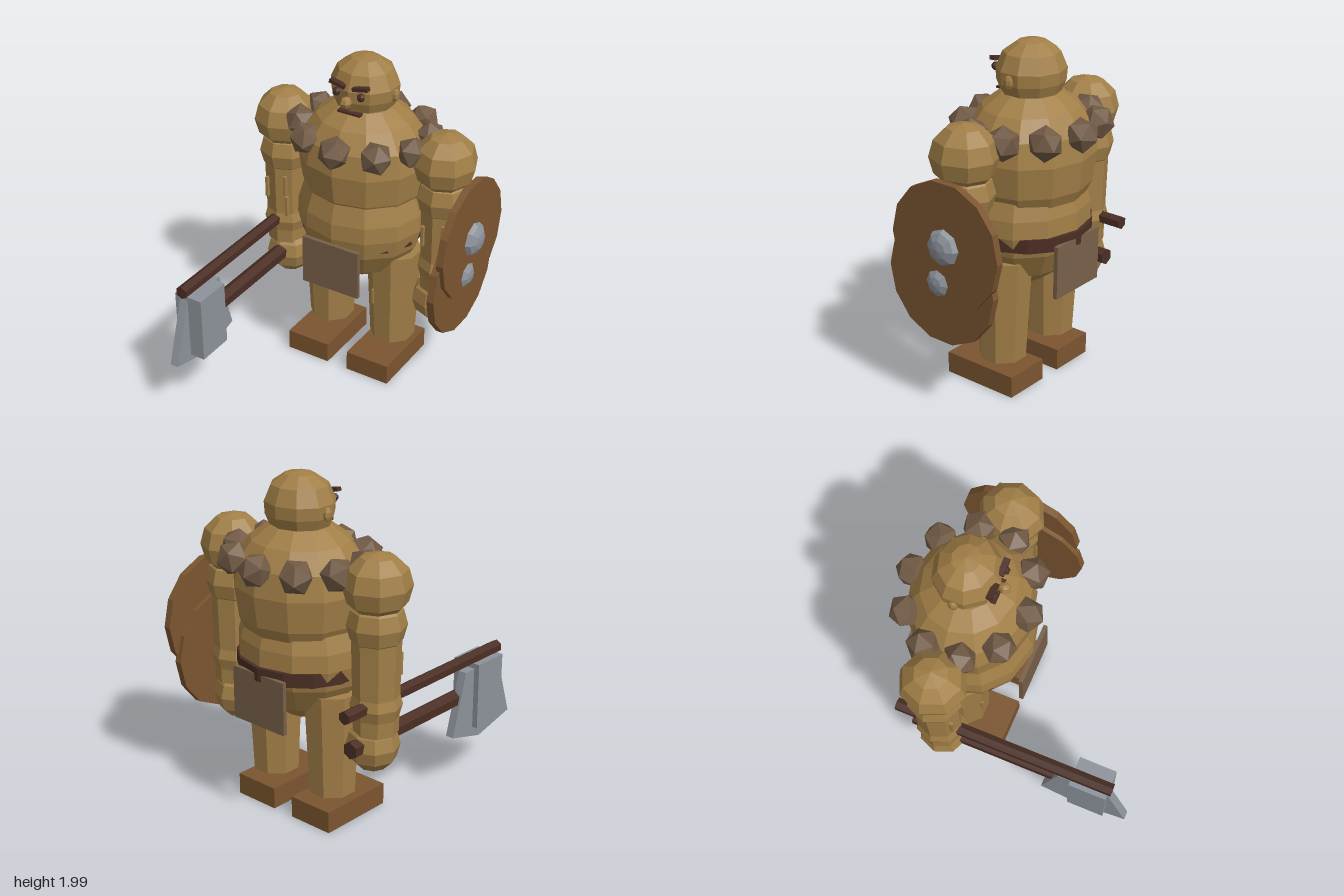
import * as THREE from 'three';

const mat = (name, color) => {
  const m = new THREE.MeshStandardMaterial({ color, flatShading: true });
  m.name = name;
  return m;
};

export function createModel() {
  const skin = mat('skin', 0xa27f47);
  const leather = mat('leather', 0x7b5530);
  const stone = mat('stone', 0x715a45);
  const cloth = mat('cloth', 0x786049);
  const darkWood = mat('darkWood', 0x4a2e24);
  const metal = mat('metal', 0x8d939b);

  const model = new THREE.Group();
  model.name = 'stoneWarrior';
  const CX = -0.03, CZ = -0.39; // body axis

  const add = (name, geo, material, x, y, z) => {
    const mesh = new THREE.Mesh(geo, material);
    mesh.name = name;
    mesh.position.set(x, y, z);
    model.add(mesh);
    return mesh;
  };
  const box = (w, h, d) => new THREE.BoxGeometry(w, h, d);
  const ball = (r, w = 8, h = 6) => new THREE.SphereGeometry(r, w, h);
  const lathe = (pts, segs, zScale) =>
    new THREE.LatheGeometry(pts.map(([r, y]) => new THREE.Vector2(r, y)), segs).scale(1, 1, zScale);

  // Torso, belly and belt
  add('chest', lathe([[0, 0.95], [0.28, 1.02], [0.37, 1.2], [0.395, 1.38], [0.37, 1.52],
    [0.29, 1.63], [0.18, 1.71], [0, 1.72]], 12, 0.92), skin, CX, 0, CZ);
  add('belly', lathe([[0, 0.575], [0.12, 0.6], [0.27, 0.7], [0.365, 0.85], [0.395, 0.97],
    [0.39, 1.07], [0.35, 1.2], [0, 1.22]], 12, 0.89), skin, CX, 0, -0.37);
  add('belt', new THREE.CylinderGeometry(0.375, 0.375, 0.08, 14).scale(1, 1, 0.94), darkWood, CX, 0.93, CZ);

  // Loincloth, front and back
  add('frontLoincloth', box(0.38, 0.31, 0.025), cloth, CX, 0.78, -0.02);
  add('backLoincloth', box(0.38, 0.31, 0.025), cloth, CX, 0.775, -0.725);

  // Head and face
  add('head', lathe([[0, 1.69], [0.17, 1.7], [0.2, 1.77], [0.205, 1.84], [0.165, 1.93],
    [0.085, 1.985], [0, 2]], 10, 0.93), skin, CX, 0, CZ);
  add('nose', ball(0.035, 6, 4).scale(1, 1, 1.15), skin, CX, 1.785, -0.18);
  add('mouth', box(0.15, 0.012, 0.04), darkWood, CX, 1.705, -0.225);
  for (const s of [-1, 1]) {
    add('ear', ball(0.04, 6, 5).scale(0.5, 1, 0.75), skin, CX + s * 0.2, 1.795, CZ);
    add('eye', ball(0.025, 6, 5), darkWood, CX + s * 0.08, 1.825, -0.207);
    add('brow', box(0.1, 0.022, 0.035), darkWood, CX + s * 0.075, 1.872, -0.215).rotation.z = s * 0.2;
  }

  // Ring of stones round the collar
  for (let i = 0; i < 10; i++) {
    const a = (i / 10) * Math.PI * 2;
    const rock = add('collarStone', new THREE.IcosahedronGeometry(0.1, 0), stone,
      CX + 0.395 * Math.sin(a), 1.525, CZ - 0.005 + 0.34 * Math.cos(a));
    rock.rotation.set(0.4, a, 0.2);
  }

  for (const s of [-1, 1]) {
    // Arms
    const ax = CX + s * 0.54;
    add('shoulder', ball(0.195).scale(0.95, 0.95, 1), skin, ax, 1.475, -0.375);
    add('upperArm', ball(0.165), skin, ax, 1.26, -0.38);
    add('forearm', new THREE.CylinderGeometry(0.138, 0.125, 0.6, 8), skin, ax, 0.94, -0.38);
    add('wrist', ball(0.145), skin, ax, 0.8, -0.38);
    add('fist', ball(0.152), skin, ax + s * -0.02, 0.555, -0.38);
    for (const [dx, dy] of [[-0.07, 1.02], [0.06, 1.06], [0.07, 0.92]])
      add('armVein', box(0.018, 0.13, 0.025), skin, ax + dx, dy, -0.265);

    // Legs and feet
    const lx = CX + s * 0.22;
    add('leg', new THREE.CylinderGeometry(0.168, 0.138, 0.62, 8).rotateY(Math.PI / 8), skin, lx, 0.49, -0.385);
    add('legVein', box(0.015, 0.1, 0.02), skin, lx - 0.06, 0.5, -0.24);
    add('foot', box(0.285, 0.128, 0.47), leather, CX + s * 0.212, 0.072, -0.325);
  }

  // Two overlapping round shields with metal bosses on the left arm
  for (const [x, y, z, r, depth] of [[0.678, 1.02, -0.392, 0.105, 0.06], [0.652, 0.797, -0.345, 0.087, 0.058]]) {
    add('shield', new THREE.CylinderGeometry(0.366, 0.366, 0.044, 14).rotateZ(Math.PI / 2), leather, x, y, z);
    add('shieldBoss', ball(r, 8, 6).rotateZ(Math.PI / 2).scale(depth / r, 1, 1), metal, x + 0.02, y, z);
  }

  // Axe: handle and flared blade
  const rod = (r, len) => new THREE.CylinderGeometry(r, r, len, 6).rotateX(Math.PI / 2);
  add('axeHandle', rod(0.039, 1.35), darkWood, -0.58, 0.81, 0.025);
  const blade = new THREE.Shape([[-0.68, 0.76], [-0.81, 0.365], [-0.52, 0.297], [-0.27, 0.365], [-0.375, 0.745]]
    .map(([u, v]) => new THREE.Vector2(u, v)));
  add('axeBlade', new THREE.ExtrudeGeometry(blade, { depth: 0.052, bevelEnabled: false })
    .rotateY(Math.PI / 2), metal, -0.606, 0, 0);

  // Hammer: handle and block head
  add('hammerHandle', rod(0.05, 1.06), darkWood, -0.55, 0.58, -0.04);
  add('hammerHead', box(0.18, 0.405, 0.228), metal, -0.55, 0.577, 0.567);

  return model;
}
